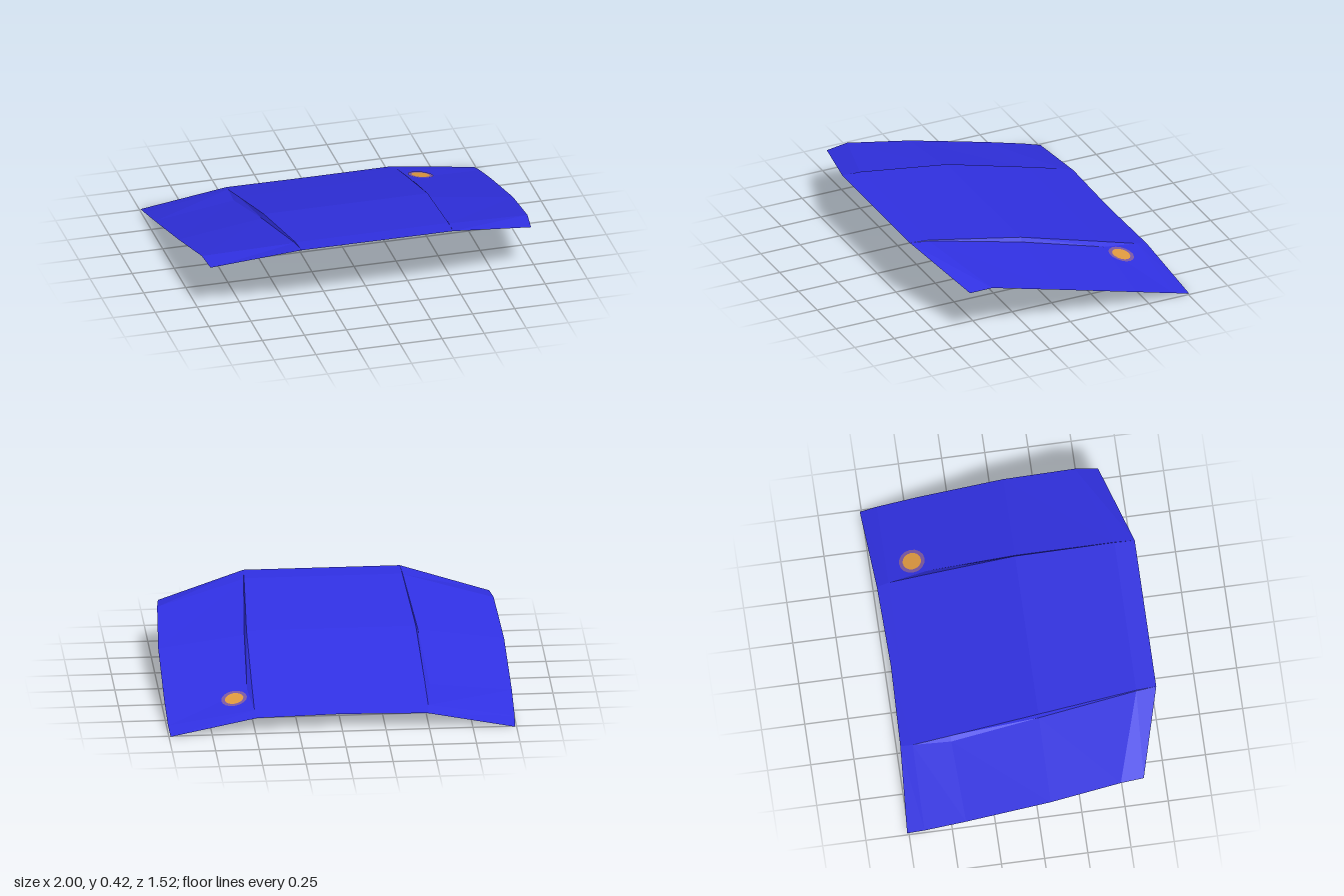
import * as THREE from 'three';

const paint = new THREE.MeshStandardMaterial({ color: 0x3030e2, side: THREE.DoubleSide, flatShading: true });
paint.name = 'bluePaint';
const orange = new THREE.MeshStandardMaterial({ color: 0xe09a40, side: THREE.DoubleSide });
orange.name = 'orangeSpot';
const halo = new THREE.MeshStandardMaterial({ color: 0x7a58a4, side: THREE.DoubleSide });
halo.name = 'mauveHalo';

// Edge lines of the left half, front to back: [x, y, z]
const ridge = [[0.45, 0.42, 0.757], [0.455, 0.414, 0.64], [0.487, 0.315, 0.07], [0.497, 0.173, -0.44], [0.5, 0.11, -0.66], [0.49, 0.088, -0.73]];
const foot = [ridge[0], [0.458, 0.41, 0.64], [0.5, 0.29, 0.07], [0.525, 0.152, -0.44], ridge[4], ridge[5]];
const outer = [[0.953, 0.305, 0.615], [0.968, 0.315, 0.48], [0.995, 0.221, 0.07], [1, 0.094, -0.42], [0.997, 0.029, -0.66], [0.99, 0, -0.76]];
const middle = ridge.map(([, y, z], i) => (i === 5 ? [0, 0.093, -0.717] : [0, y, z]));
const mirror = (line) => line.map(([x, y, z]) => [-x, y, z]);

// Open sheet between edge lines, listed from -x to +x
function sheet(lines, name) {
  const rows = lines[0].length;
  const pos = [];
  const index = [];
  lines.forEach((line) => line.forEach((p) => pos.push(...p)));
  for (let c = 0; c < lines.length - 1; c++) {
    for (let r = 0; r < rows - 1; r++) {
      const a = c * rows + r;
      const b = a + rows;
      index.push(a, b, b + 1, a, b + 1, a + 1);
    }
  }
  const indexed = new THREE.BufferGeometry();
  indexed.setAttribute('position', new THREE.Float32BufferAttribute(pos, 3));
  indexed.setIndex(index);
  const geo = indexed.toNonIndexed();
  geo.computeVertexNormals();
  const mesh = new THREE.Mesh(geo, paint);
  mesh.name = name;
  return mesh;
}

// Thin disc or ring draped over a panel, just off its surface
function drape(panel, inner, radius, material, offset, name) {
  const geo = new THREE.RingGeometry(inner, radius, 16, 3);
  geo.rotateX(-Math.PI / 2).translate(0.605, 0, -0.512);
  const pos = geo.attributes.position;
  const ray = new THREE.Raycaster();
  const down = new THREE.Vector3(0, -1, 0);
  for (let i = 0; i < pos.count; i++) {
    ray.set(new THREE.Vector3(pos.getX(i), 2, pos.getZ(i)), down);
    const hit = ray.intersectObject(panel)[0];
    pos.setY(i, (hit ? hit.point.y : 0.13) + offset);
  }
  geo.computeVertexNormals();
  const mesh = new THREE.Mesh(geo, material);
  mesh.name = name;
  return mesh;
}

export function createModel() {
  const group = new THREE.Group();
  group.name = 'hood';

  // Raised centre panel
  group.add(sheet([mirror(ridge), middle, ridge], 'centrePanel'));

  // Side panels and the narrow steps up to the centre
  const leftPanel = sheet([foot, outer], 'leftPanel');
  group.add(leftPanel, sheet([mirror(outer), mirror(foot)], 'rightPanel'));
  group.add(sheet([ridge, foot], 'leftStep'), sheet([mirror(foot), mirror(ridge)], 'rightStep'));

  // Round spot with a halo, showing on both faces of the left panel
  for (const [side, offset] of [['upper', 0.003], ['lower', -0.003]]) {
    group.add(drape(leftPanel, 0, 0.053, orange, offset, side + 'Spot'));
    group.add(drape(leftPanel, 0.053, 0.074, halo, offset, side + 'Halo'));
  }
  return group;
}
